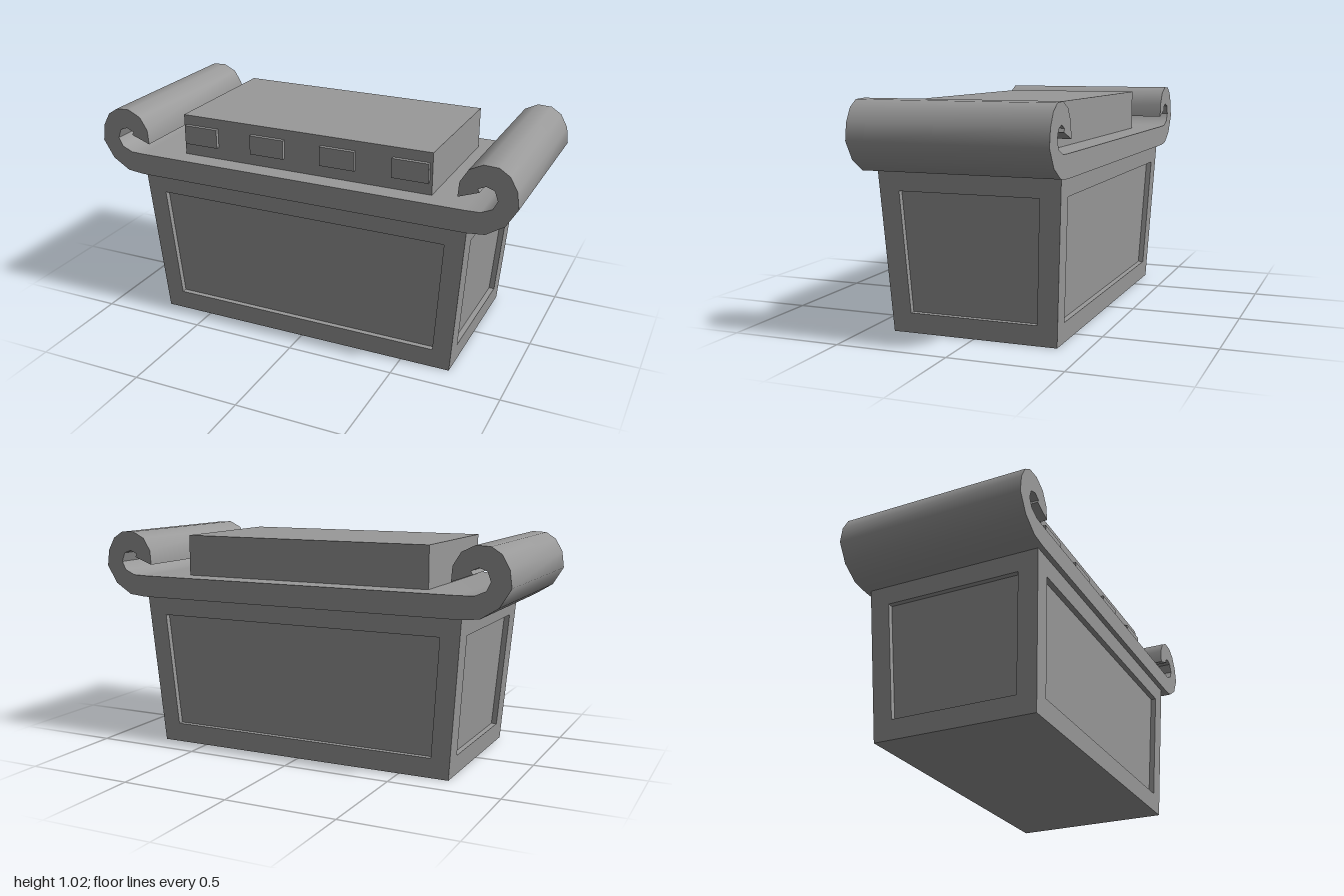
import * as THREE from 'three';
import { toCreasedNormals } from 'three/addons/utils/BufferGeometryUtils.js';

const stone = new THREE.MeshStandardMaterial({ color: 0x999999 });
stone.name = 'grey stone';

const BODY_TOP = 0.71, PANEL_LOW = 0.09, PANEL_HIGH = 0.625, RECESS = 0.025;
const halfX = y => 0.73 + 0.055 * y / BODY_TOP;
const halfZ = y => 0.375 + 0.035 * y / BODY_TOP;

function addMesh(parent, name, geometry, x = 0, y = 0, z = 0) {
  const mesh = new THREE.Mesh(geometry, stone);
  mesh.name = name;
  mesh.position.set(x, y, z);
  parent.add(mesh);
  return mesh;
}

// Flat-shaded geometry from quads with counter-clockwise corners
function quadGeometry(quads) {
  const positions = quads.flatMap(([a, b, c, d]) => [a, b, c, a, c, d].flat());
  const geometry = new THREE.BufferGeometry();
  geometry.setAttribute('position', new THREE.Float32BufferAttribute(positions, 3));
  geometry.computeVertexNormals();
  return geometry;
}

// One tapered wall: a frame around a recessed panel
function addWall(parent, name, place, halfWidth, panelLow, panelHigh) {
  const ring = (low, high, y0, y1, depth) => [
    place(-low, y0, depth), place(low, y0, depth),
    place(high, y1, depth), place(-high, y1, depth)];
  const outer = ring(halfWidth(0), halfWidth(BODY_TOP), 0, BODY_TOP, 0);
  const edge = ring(panelLow, panelHigh, PANEL_LOW, PANEL_HIGH, 0);
  const inset = ring(panelLow, panelHigh, PANEL_LOW, PANEL_HIGH, RECESS);
  const quads = [];
  for (let i = 0; i < 4; i++) {
    const j = (i + 1) % 4;
    quads.push([outer[i], outer[j], edge[j], edge[i]], [edge[i], edge[j], inset[j], inset[i]]);
  }
  addMesh(parent, name + 'Frame', quadGeometry(quads));
  addMesh(parent, name + 'Panel', quadGeometry([inset]));
}

export function createModel() {
  const model = new THREE.Group();
  model.name = 'scrollTopPedestal';

  // Tapered body with a recessed panel on each side
  const body = new THREE.Group();
  body.name = 'body';
  model.add(body);
  addWall(body, 'front', (u, y, d) => [u, y, halfZ(y) - d], halfX, 0.65, 0.69);
  addWall(body, 'back', (u, y, d) => [-u, y, d - halfZ(y)], halfX, 0.65, 0.69);
  addWall(body, 'left', (u, y, d) => [halfX(y) - d, y, -u], halfZ, 0.29, 0.315);
  addWall(body, 'right', (u, y, d) => [d - halfX(y), y, u], halfZ, 0.29, 0.315);
  const bx = halfX(0), bz = halfZ(0);
  addMesh(body, 'underside', quadGeometry([[[-bx, 0, -bz], [bx, 0, -bz], [bx, 0, bz], [-bx, 0, bz]]]));

  // Slab whose ends curl up into scrolls, outlined along the +x half
  const scroll = [
    [0.79, 0.71], [0.87, 0.718], [0.95, 0.768], [0.995, 0.85], [0.99, 0.925], [0.957, 0.984],
    [0.91, 1.014], [0.845, 1.017], [0.786, 0.988], [0.75, 0.93], [0.745, 0.864],
    [0.836, 0.897], [0.828, 0.912], [0.862, 0.927], [0.898, 0.914], [0.913, 0.872],
    [0.894, 0.834], [0.845, 0.812], [0.78, 0.81]];
  scroll[3][0] = 1;
  const mirrored = scroll.map(([x, y]) => [-x, y]).reverse();
  const outline = new THREE.Shape([...scroll, ...mirrored].map(p => new THREE.Vector2(...p)));
  const slab = new THREE.ExtrudeGeometry(outline, { depth: 0.87, bevelEnabled: false });
  addMesh(model, 'scrolledSlab', toCreasedNormals(slab, 0.8), 0, 0, -0.437);

  // Raised block on the slab
  addMesh(model, 'topBlock', new THREE.BoxGeometry(1.21, 0.2, 0.66), 0, 0.9, 0.01);

  // Row of small plaques along the front of the block
  for (const x of [-0.51, -0.172, 0.172, 0.51]) {
    addMesh(model, 'plaque', new THREE.BoxGeometry(0.166, 0.088, 0.03), x, 0.91, 0.343);
  }
  return model;
}
